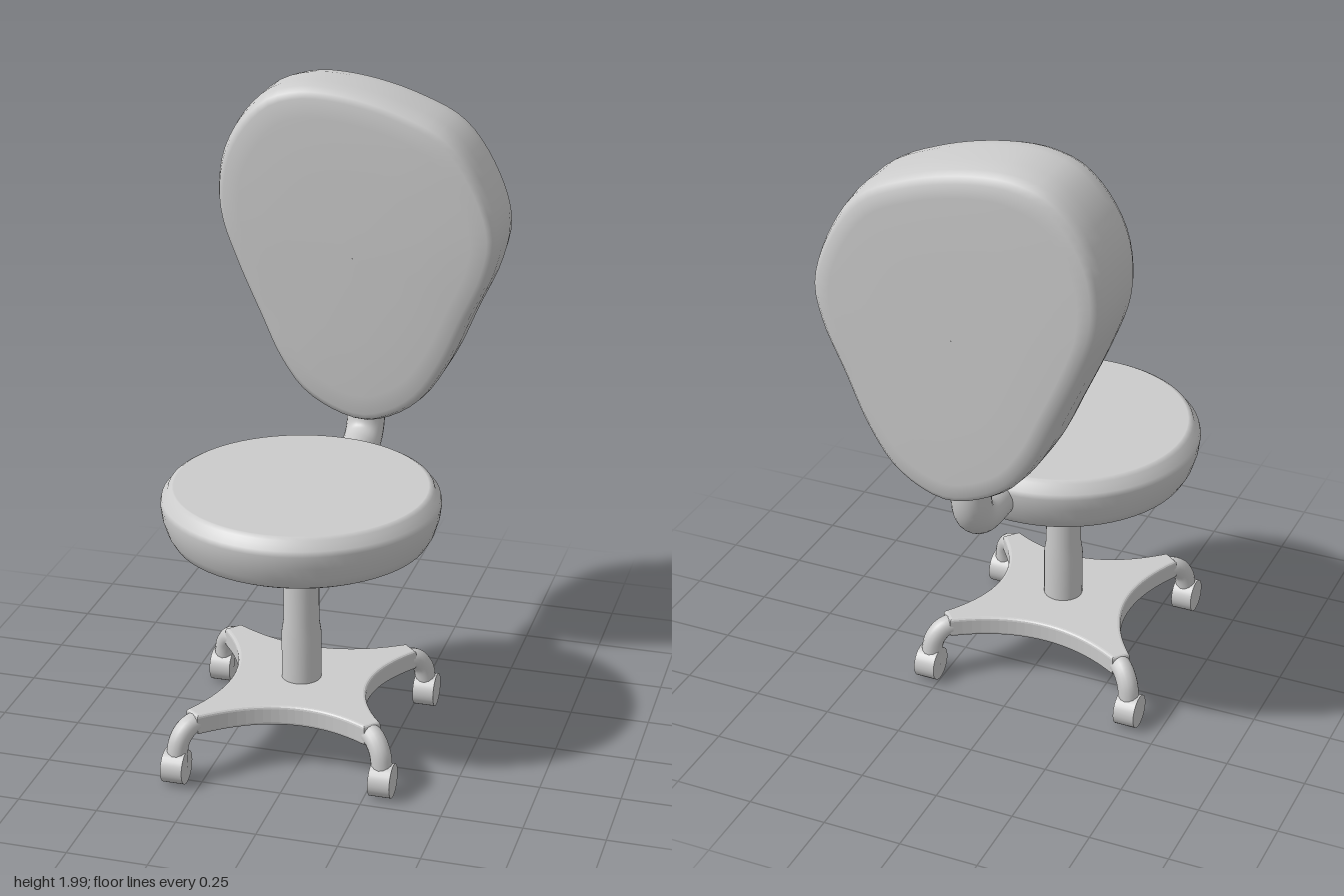
import * as THREE from 'three';

const V2 = (x, y) => new THREE.Vector2(x, y);
const V3 = (x, y, z) => new THREE.Vector3(x, y, z);
const CX = -0.038, CZ = 0.135; // axis of the seat and column

export function createModel() {
  const model = new THREE.Group();
  model.name = 'officeChair';
  const material = new THREE.MeshStandardMaterial({ color: 0xcccccc, side: THREE.DoubleSide });
  const add = (name, geometry, x = 0, y = 0, z = 0) => {
    const mesh = new THREE.Mesh(geometry, material);
    mesh.name = name;
    mesh.position.set(x, y, z);
    model.add(mesh);
    return mesh;
  };

  // Round cushion with a soft lower side and a narrow rounded rim
  const seat = [[0, 0.7], [0.37, 0.7], [0.372, 0.7], [0.393, 0.711], [0.41, 0.74], [0.424, 0.785], [0.429, 0.825],
    [0.425, 0.842], [0.41, 0.855], [0.405, 0.868], [0.393, 0.875], [0.388, 0.875], [0, 0.875]];
  add('seat', new THREE.LatheGeometry(seat.map(p => V2(...p)), 64), CX, 0, CZ);

  // Two-stage column
  const column = [[0.062, 0.19], [0.062, 0.38], [0.056, 0.42], [0.056, 0.71]];
  add('column', new THREE.LatheGeometry(column.map(p => V2(...p)), 32), CX, 0, CZ + 0.003);

  add('backrest', backrestGeometry());

  // Bent tube joining the seat to the backrest
  const bend = new THREE.CurvePath();
  bend.add(new THREE.LineCurve3(V3(0.008, 0.795, -0.2), V3(0.008, 0.797, -0.34)));
  bend.add(new THREE.CubicBezierCurve3(V3(0.008, 0.797, -0.34), V3(0.008, 0.797, -0.41),
    V3(0.008, 0.83, -0.455), V3(0.008, 0.91, -0.457)));
  bend.add(new THREE.LineCurve3(V3(0.008, 0.91, -0.457), V3(0.008, 1.05, -0.457)));
  add('backSupport', new THREE.TubeGeometry(bend, 48, 0.061, 24));

  // Caster positions, in order around the base
  const casters = [[0.3, 0.425], [-0.327, 0.515], [-0.395, -0.173], [0.287, -0.185]];
  addBasePlate(add, casters);
  casters.forEach(([x, z], i) => {
    const at = (f, y) => V3(CX + (x - CX) * f, y, CZ + (z - CZ) * f);
    // Arm running out along the plate and turning down to the wheel
    const path = new THREE.CatmullRomCurve3([at(0.6, 0.192), at(0.8, 0.191), at(0.9, 0.182), at(0.965, 0.15), at(0.99, 0.1), at(0.99, 0.06)]);
    add('arm' + (i + 1), new THREE.TubeGeometry(path, 28, 0.033, 14));
    const wheel = new THREE.CylinderGeometry(0.053, 0.053, 0.068, 28);
    add('wheel' + (i + 1), wheel.rotateZ(Math.PI / 2), x, 0.062, z);
  });
  return model;
}

// Lopsided, rounded cushion made of scaled copies of one closed outline
function backrestGeometry() {
  const outline = new THREE.CatmullRomCurve3([[-0.13, 2], [0, 1.987], [0.15, 1.947], [0.3, 1.875], [0.4, 1.745],
    [0.461, 1.57], [0.44, 1.44], [0.37, 1.28], [0.3, 1.12], [0.22, 1.0], [0.13, 0.937], [0.04, 0.913], [-0.06, 0.938],
    [-0.16, 1.0], [-0.24, 1.11], [-0.3, 1.24], [-0.38, 1.42], [-0.43, 1.56], [-0.44, 1.66], [-0.42, 1.78],
    [-0.36, 1.89], [-0.28, 1.965], [-0.2, 1.993]].map(([x, y]) => V3(x, y, 0)), true);
  const n = 80, cx = 0.01, cy = 1.47;
  const points = outline.getSpacedPoints(n).slice(0, n);
  // [scale, z] from the back face to the front face
  const rings = [[0.001, -0.572], [0.5, -0.572], [0.85, -0.571], [0.93, -0.567], [0.965, -0.553], [0.985, -0.527], [1, -0.47],
    [1, -0.36], [0.988, -0.315], [0.965, -0.287], [0.93, -0.277], [0.82, -0.272], [0.5, -0.267], [0.001, -0.266]];
  const positions = [], index = [];
  rings.forEach(([s, z], i) => points.forEach((p, j) => {
    positions.push(cx + (p.x - cx) * s, cy + (p.y - cy) * s, z);
    if (i === rings.length - 1) return;
    const a = i * n + j, b = i * n + (j + 1) % n;
    index.push(a, a + n, b, b, a + n, b + n);
  }));
  const geometry = new THREE.BufferGeometry();
  geometry.setAttribute('position', new THREE.Float32BufferAttribute(positions, 3));
  geometry.setIndex(index);
  geometry.computeVertexNormals();
  return geometry;
}

// Four-cornered plate with hollowed sides, its corners running into the arms
function addBasePlate(add, casters) {
  const shape = new THREE.Shape();
  const corners = casters.map(([x, z]) => V2(x - CX, CZ - z)); // shape y becomes -z
  const half = 0.022;
  corners.forEach((c, i) => {
    const tip = c.clone().multiplyScalar(0.85);
    const side = V2(-c.y, c.x).normalize().multiplyScalar(half);
    const a = tip.clone().add(side), b = tip.clone().sub(side);
    const previous = corners[(i + 3) % 4];
    const hollow = c.clone().add(previous).multiplyScalar(0.17);
    if (i === 0) shape.moveTo(a.x, a.y);
    else shape.quadraticCurveTo(hollow.x, hollow.y, a.x, a.y);
    shape.lineTo(b.x, b.y);
  });
  const last = corners[0].clone().add(corners[3]).multiplyScalar(0.17);
  const first = shape.curves[0].v1;
  shape.quadraticCurveTo(last.x, last.y, first.x, first.y);
  const geometry = new THREE.ExtrudeGeometry(shape, {
    depth: 0.046, bevelEnabled: true, bevelThickness: 0.01, bevelSize: 0.01, bevelSegments: 3, curveSegments: 20,
  });
  add('basePlate', geometry.rotateX(-Math.PI / 2), CX, 0.169, CZ);
}
